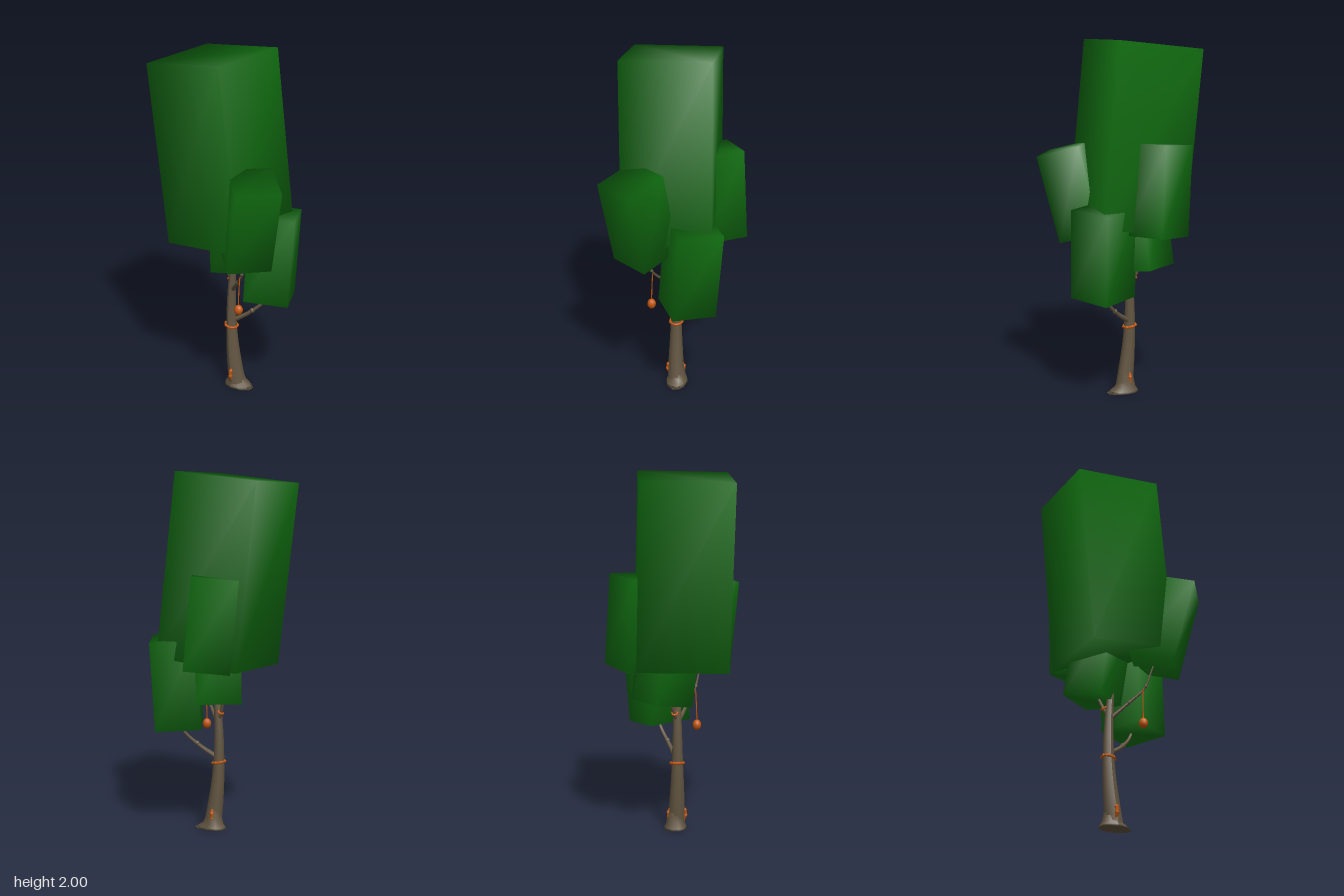
import * as THREE from 'three';
import { mergeVertices } from 'three/addons/utils/BufferGeometryUtils.js';

const mat = (name, color) => {
  const m = new THREE.MeshStandardMaterial({ color });
  m.name = name;
  return m;
};
const V = (a) => new THREE.Vector3(...a);

export function createModel() {
  const leaf = mat('leafGreen', 0x106a10);
  const bark = mat('barkBrown', 0x625541);
  const orange = mat('ornamentOrange', 0xc2560e);
  const tree = new THREE.Group();
  tree.name = 'tree';

  const add = (name, geometry, material, parent = tree) => {
    const m = new THREE.Mesh(geometry, material);
    m.name = name;
    parent.add(m);
    return m;
  };

  // Block of leaves with softly averaged normals, given by centre and edge vectors
  const leafBlock = (name, centre, ex, ey, ez) => {
    let g = new THREE.BoxGeometry(1, 1, 1);
    g.deleteAttribute('normal');
    g.deleteAttribute('uv');
    g = mergeVertices(g);
    g.applyMatrix4(new THREE.Matrix4().makeBasis(V(ex), V(ey), V(ez)).setPosition(...centre));
    g.computeVertexNormals();
    add(name, g, leaf);
  };

  leafBlock('mainCrown', [-0.112, 1.465, 0.037], [0.495, 0.055, 0], [-0.11, 1.012, 0.02], [0, -0.01, 0.5]);
  leafBlock('frontLeftCrown', [0.19, 1.15, 0.18], [0.15, -0.01, -0.195], [0.11, 0.485, 0.06], [0.185, -0.065, 0.155]);
  leafBlock('lowLeftCrown', [0.135, 0.84, -0.10], [0.225, -0.014, -0.115], [0.01, 0.5, -0.04], [0.115, 0.016, 0.225]);
  leafBlock('backCrown', [-0.147, 1.19, -0.205], [0.22, 0.022, -0.12], [-0.035, 0.5, 0.03], [0.12, -0.005, 0.22]);
  leafBlock('lowRightCrown', [-0.10, 0.98, -0.05], [0.21, 0, -0.13], [0.04, 0.49, 0.06], [0.125, -0.035, 0.205]);

  // Tapered limb along a smooth path; radii are spread evenly along it
  const limb = (name, points, radii, sides, steps, material = bark) => {
    const curve = new THREE.CatmullRomCurve3(points.map(V));
    const g = new THREE.TubeGeometry(curve, steps, 1, sides);
    const pos = g.attributes.position;
    const v = new THREE.Vector3();
    for (let i = 0; i <= steps; i++) {
      const p = curve.getPointAt(i / steps);
      const t = (i / steps) * (radii.length - 1);
      const k = Math.min(Math.floor(t), radii.length - 2);
      const r = THREE.MathUtils.lerp(radii[k], radii[k + 1], t - k);
      for (let j = 0; j <= sides; j++) {
        const n = i * (sides + 1) + j;
        v.fromBufferAttribute(pos, n).sub(p).multiplyScalar(r).add(p);
        pos.setXYZ(n, v.x, v.y, v.z);
      }
    }
    g.computeVertexNormals();
    return add(name, g, material);
  };

  limb('trunk', [[-0.035, 0.02, 0.005], [-0.05, 0.12, 0.008], [-0.067, 0.28, 0.01], [-0.074, 0.45, 0.01],
    [-0.07, 0.62, 0.01], [-0.058, 0.77, 0.01], [-0.04, 0.9, 0.01]],
  [0.05, 0.044, 0.037, 0.031, 0.027, 0.023, 0.018, 0.003], 10, 21);

  // Flared root foot, stretched to the left
  const foot = new THREE.LatheGeometry([[0, 0], [0.064, 0], [0.062, 0.012], [0.052, 0.032], [0.046, 0.07], [0.04, 0.11]]
    .map(([x, y]) => new THREE.Vector2(x, y)), 10);
  const fp = foot.attributes.position;
  for (let i = 0; i < fp.count; i++) {
    const flare = Math.pow(Math.max(0, 1 - fp.getY(i) / 0.07), 2);
    const x = fp.getX(i);
    fp.setX(i, x * (1 + flare * (x > 0 ? 0.65 : 0.3)) - 0.047 + flare * 0.01);
  }
  foot.computeVertexNormals();
  add('rootFoot', foot, bark);

  // Branches
  limb('lowBranch', [[-0.07, 0.41, 0.005], [0.03, 0.48, -0.035], [0.11, 0.57, -0.08], [0.14, 0.7, -0.1]],
    [0.015, 0.011, 0.008, 0.005], 7, 12);
  limb('frontBranch', [[-0.065, 0.61, 0.01], [0.02, 0.7, 0.07], [0.09, 0.78, 0.12], [0.12, 0.88, 0.145], [0.15, 0.98, 0.16]],
    [0.013, 0.009, 0.007, 0.005, 0.004], 7, 14);
  limb('rightBranch', [[-0.068, 0.62, 0.01], [-0.1, 0.68, -0.01], [-0.13, 0.78, -0.04]],
    [0.012, 0.009, 0.005], 7, 8);

  // Knots on the branches
  for (const [x, y, z, r] of [[0.02, 0.7, 0.07, 0.012], [0.095, 0.79, 0.125, 0.01], [0.04, 0.49, -0.04, 0.015]]) {
    add('branchKnot', new THREE.SphereGeometry(r, 8, 6), bark).position.set(x, y, z);
  }

  // Knobbly orange bands
  const band = (name, at, rot, radius, tube, knobs) => {
    const g = new THREE.Group();
    g.name = name;
    g.position.set(...at);
    g.rotation.set(...rot);
    add('ring', new THREE.TorusGeometry(radius, tube, 6, 20), orange, g);
    for (let i = 0; i < knobs; i++) {
      const a = (i / knobs) * Math.PI * 2 + 0.2;
      add('knob', new THREE.SphereGeometry(tube * 1.35, 7, 5), orange, g)
        .position.set(Math.cos(a) * radius, Math.sin(a) * radius, 0);
    }
    tree.add(g);
  };
  band('trunkBand', [-0.073, 0.385, 0.01], [Math.PI / 2, -0.18, 0], 0.035, 0.007, 7);
  band('baseBand', [-0.05, 0.085, 0.009], [0, Math.PI / 2 + 0.1, 0], 0.049, 0.009, 10);
  band('branchBand', [-0.092, 0.672, -0.006], [Math.PI / 2, 0.5, 0], 0.014, 0.006, 5);

  // Hanging ornament
  limb('string', [[0.078, 0.77, 0.122], [0.075, 0.68, 0.127], [0.075, 0.59, 0.13]], [0.0035, 0.0035], 5, 6, orange);
  const bauble = add('hangingOrnament', new THREE.SphereGeometry(0.025, 10, 8), orange);
  bauble.scale.y = 1.2;
  bauble.position.set(0.075, 0.57, 0.13);

  return tree;
}
